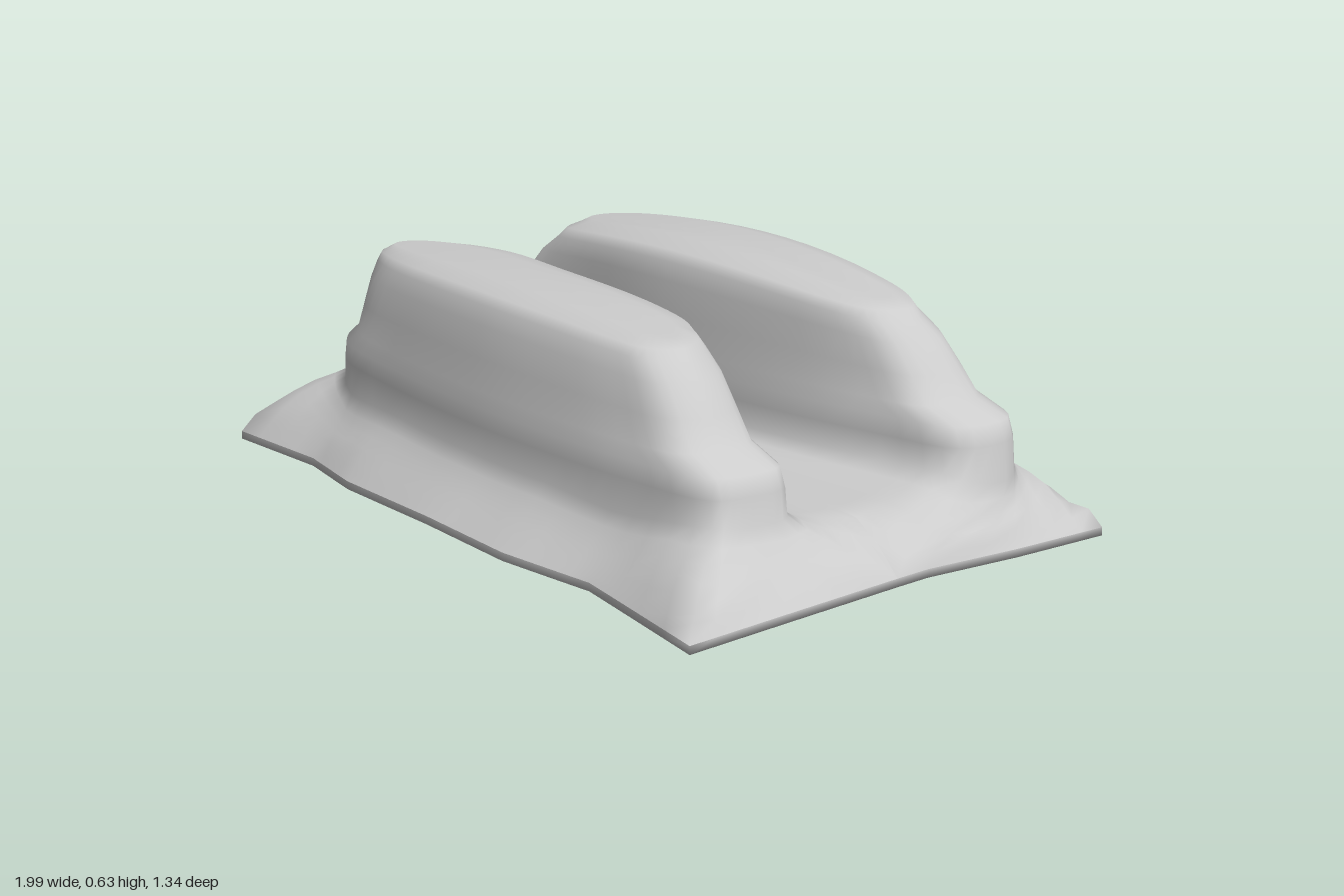
import * as THREE from 'three';

const material = new THREE.MeshStandardMaterial({ color: 0xcccccc });
const { lerp } = THREE.MathUtils;
const STEPS = 4; // samples per outline point

// Skin a stack of closed rings from bottom to top; a given cap point closes that end.
function loft(name, rings, bottom, top) {
  const n = rings[0].length, pos = rings.flat(2), index = [];
  const cap = rings.length * n, last = cap - n;
  pos.push(...(bottom ?? top));
  for (let j = 0; j < n; j++) {
    const k = (j + 1) % n;
    for (let a = 0; a < last; a += n) {
      index.push(a + j, a + k, a + n + k, a + j, a + n + k, a + n + j);
    }
    if (bottom) index.push(k, j, cap);
    else index.push(last + j, last + k, cap);
  }
  const geometry = new THREE.BufferGeometry();
  geometry.setAttribute('position', new THREE.Float32BufferAttribute(pos, 3));
  geometry.setIndex(index);
  geometry.computeVertexNormals();
  const mesh = new THREE.Mesh(geometry, material);
  mesh.name = name;
  return mesh;
}

// Closed outline through [x, z] points, either curved or with straight sides.
function curved(points) {
  const curve = new THREE.CatmullRomCurve3(points.map(([x, z]) => new THREE.Vector3(x, 0, z)), true, 'centripetal');
  const count = points.length * STEPS;
  return Array.from({ length: count }, (_, i) => {
    const p = curve.getPoint(i / count);
    return [p.x, p.z];
  });
}

function straight(points) {
  return points.flatMap(([x, z], i) => {
    const [nx, nz] = points[(i + 1) % points.length];
    return Array.from({ length: STEPS }, (_, k) => [lerp(x, nx, k / STEPS), lerp(z, nz, k / STEPS)]);
  });
}

// Slab halves, meeting along the valley line.
const frontHalf = [
  [-0.94, 0.63], [-0.6, 0.62], [-0.37, 0.66], [0, 0.67], [0.3, 0.66], [0.57, 0.61], [0.99, 0.65], [0.985, 0.38],
  [0.98, 0.07], [0.7, 0.08], [0.53, 0.08], [0.3, 0.08], [-0.1, 0.07], [-0.36, 0.06], [-0.65, 0.06], [-0.98, 0.06], [-1, 0.3],
];
const backHalf = [
  [-0.93, -0.35], [-0.96, -0.1], [-0.98, 0.06], [-0.65, 0.06], [-0.36, 0.06], [-0.1, 0.07], [0.3, 0.08], [0.7, 0.08],
  [0.98, 0.07], [0.965, -0.3], [0.94, -0.59], [0.62, -0.58], [-0.03, -0.67], [-0.35, -0.61], [-0.88, -0.54],
];
const rim = straight([frontHalf[16], ...frontHalf.slice(0, 9), ...backHalf.slice(9), ...backHalf.slice(0, 3)]);

// The slab's edge droops at the corners; its top rounds up away from the rim.
const edgeHeight = (x, z) => 0.045 + 0.028 * (1 - Math.abs(x * z) / 0.62);
function slabHeight(x, z) {
  const d = Math.min(...rim.map(([rx, rz]) => Math.hypot(x - rx, z - rz)));
  return lerp(edgeHeight(x, z) + 0.02, 0.2, Math.sin(Math.min(d / 0.17, 1) * Math.PI / 2));
}

// Sagging underside with the thin edge of the slab.
function makeUnderside() {
  const levels = [[0.55, 0.022, 0], [0.92, 0.036, 0.5], [1, 0, 1], [1, 0.02, 1]];
  const rings = levels.map(([s, y, follow]) => rim.map(([x, z]) =>
    [x * s, follow === 1 ? y + edgeHeight(x, z) : lerp(y, edgeHeight(x, z), follow), z * s]));
  return loft('slabUnderside', rings, [0.3, 0, 0.15], null);
}

// Half of the slab top sweeping up into its long ridge.
function makeRidge(name, half, footPoints, crownPoints, midZ, peak) {
  const edge = straight(half), foot = curved(footPoints), crown = curved(crownPoints);
  // slab top, from the edge in to the foot of the ridge
  const slabRings = [0, 0.12, 0.28, 0.46, 0.64, 0.82, 1].map((t) => edge.map(([ex, ez], i) => {
    const x = lerp(ex, foot[i][0], t), z = lerp(ez, foot[i][1], t);
    return [x, slabHeight(x, z) + 0.04 * t ** 4, z];
  }));
  // walls: height, blend from foot to crown, width of the ring
  const levels = [
    [0.3, 0.03, 1], [0.345, 0.1, 1], [0.38, 0.45, 1], [0.45, 0.63, 1], [0.52, 0.82, 1],
    [0.56, 1, 1], [0.582, 1.08, 0.9], [0.596, 1.25, 0.5],
  ];
  const wallRings = levels.map(([y, t, width]) => foot.map(([fx, fz], i) => {
    const x = lerp(fx, crown[i][0], t);
    const z = midZ + (lerp(fz, crown[i][1], Math.min(t * t, 1)) - midZ) * width;
    const bow = Math.max(0, (y - 0.35) / 0.25) * (peak - 0.6) * (1 - 2 * (x / 0.65) ** 2);
    return [x, y + bow, z];
  }));
  return loft(name, [...slabRings, ...wallRings], null, [0, peak, midZ]);
}

export function createModel() {
  const group = new THREE.Group();
  group.name = 'ridgedSlab';
  group.add(makeUnderside());
  group.add(makeRidge('frontRidge', frontHalf,
    [[-0.78, 0.38], [-0.65, 0.49], [-0.4, 0.53], [0, 0.55], [0.3, 0.54], [0.6, 0.51], [0.82, 0.46], [0.85, 0.37],
      [0.84, 0.27], [0.7, 0.25], [0.53, 0.2], [0.3, 0.17], [-0.1, 0.17], [-0.36, 0.145], [-0.65, 0.19], [-0.78, 0.24], [-0.8, 0.31]],
    [[-0.64, 0.39], [-0.54, 0.44], [-0.35, 0.48], [0, 0.5], [0.25, 0.49], [0.45, 0.47], [0.56, 0.44], [0.6, 0.36],
      [0.56, 0.28], [0.5, 0.25], [0.42, 0.22], [0.25, 0.2], [-0.1, 0.19], [-0.36, 0.17], [-0.55, 0.2], [-0.63, 0.25], [-0.66, 0.32]],
    0.34, 0.615));
  group.add(makeRidge('backRidge', backHalf,
    [[-0.79, -0.38], [-0.82, -0.2], [-0.86, -0.07], [-0.7, -0.05], [-0.4, -0.05], [-0.05, -0.04], [0.3, -0.08], [0.65, -0.16],
      [0.85, -0.23], [0.86, -0.38], [0.7, -0.45], [0.4, -0.49], [0, -0.505], [-0.4, -0.49], [-0.7, -0.44]],
    [[-0.65, -0.33], [-0.66, -0.24], [-0.61, -0.14], [-0.55, -0.1], [-0.35, -0.07], [-0.05, -0.07], [0.25, -0.1], [0.48, -0.15],
      [0.58, -0.21], [0.6, -0.31], [0.53, -0.36], [0.35, -0.39], [0, -0.41], [-0.35, -0.4], [-0.58, -0.37]],
    -0.25, 0.63));
  return group;
}
